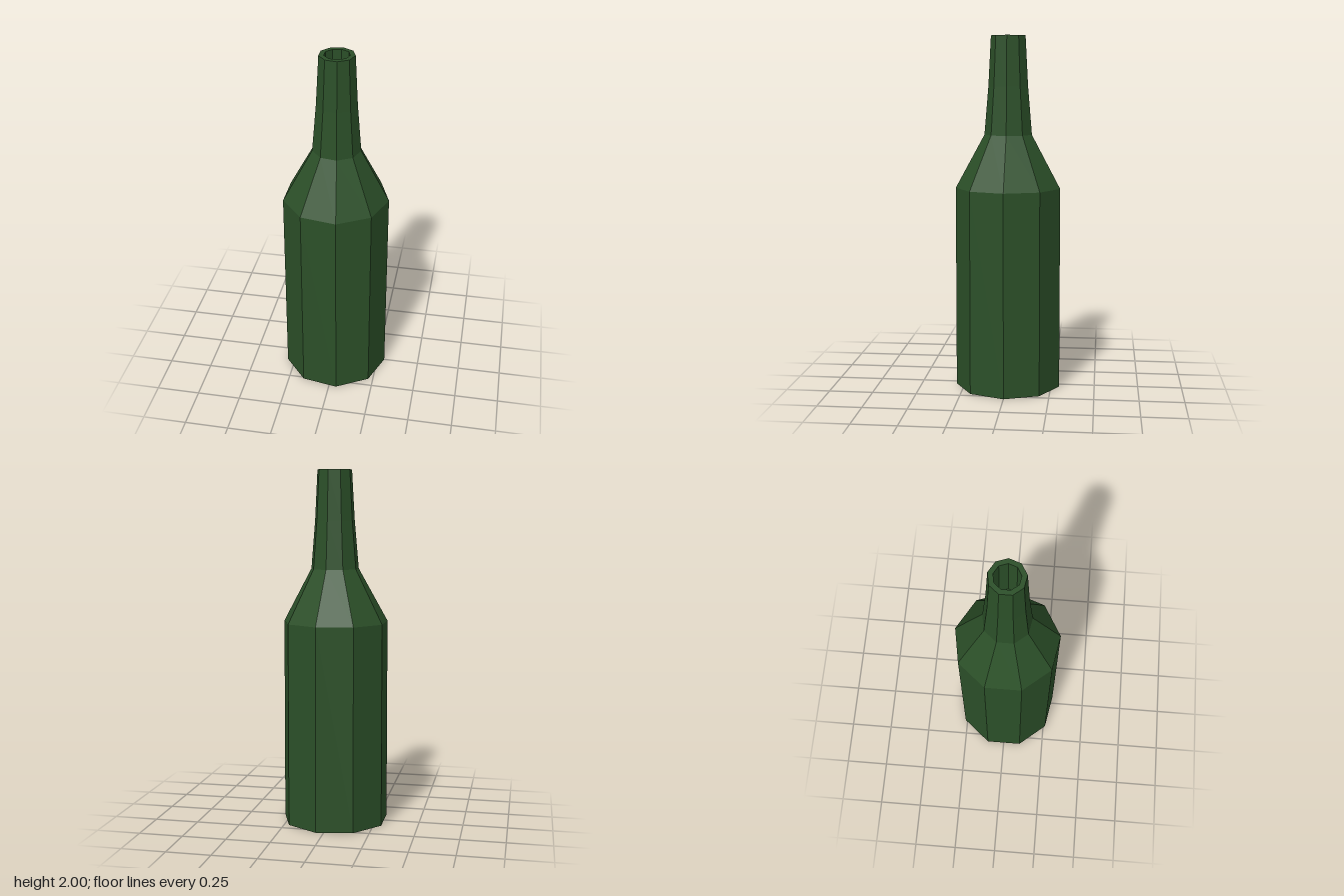
import * as THREE from 'three';

const SIDES = 9;

// Nine-sided lathe with a corner on +x; rows are [radius, height, centre x]
function facetedLathe(rows) {
  const points = rows.map(([r, y]) => new THREE.Vector2(r, y));
  const geometry = new THREE.LatheGeometry(points, SIDES, Math.PI / 2);
  const position = geometry.attributes.position;
  for (let i = 0; i < position.count; i++) {
    position.setX(i, position.getX(i) + rows[i % rows.length][2]);
  }
  return geometry.toNonIndexed();
}

export function createModel() {
  const group = new THREE.Group();
  group.name = 'bottle';
  const glass = new THREE.MeshStandardMaterial({ color: 0x2b4f28, flatShading: true });

  const add = (name, rows) => {
    const geometry = facetedLathe(rows);
    geometry.computeVertexNormals();
    const mesh = new THREE.Mesh(geometry, glass);
    mesh.name = name;
    group.add(mesh);
  };

  // Base, slightly tapering wall and sloping shoulder
  add('body', [
    [0, 0, -0.01],
    [0.303, 0, -0.01],
    [0.3, 1.15, -0.01],
    [0.136, 1.45, -0.006],
  ]);

  // Neck, flat rim and the bore inside it
  add('neck', [
    [0.136, 1.45, -0.006],
    [0.113, 1.72, -0.005],
    [0.098, 2, -0.004],
    [0.07, 2, -0.004],
    [0.07, 1.7, -0.004],
    [0, 1.7, -0.004],
  ]);

  return group;
}
